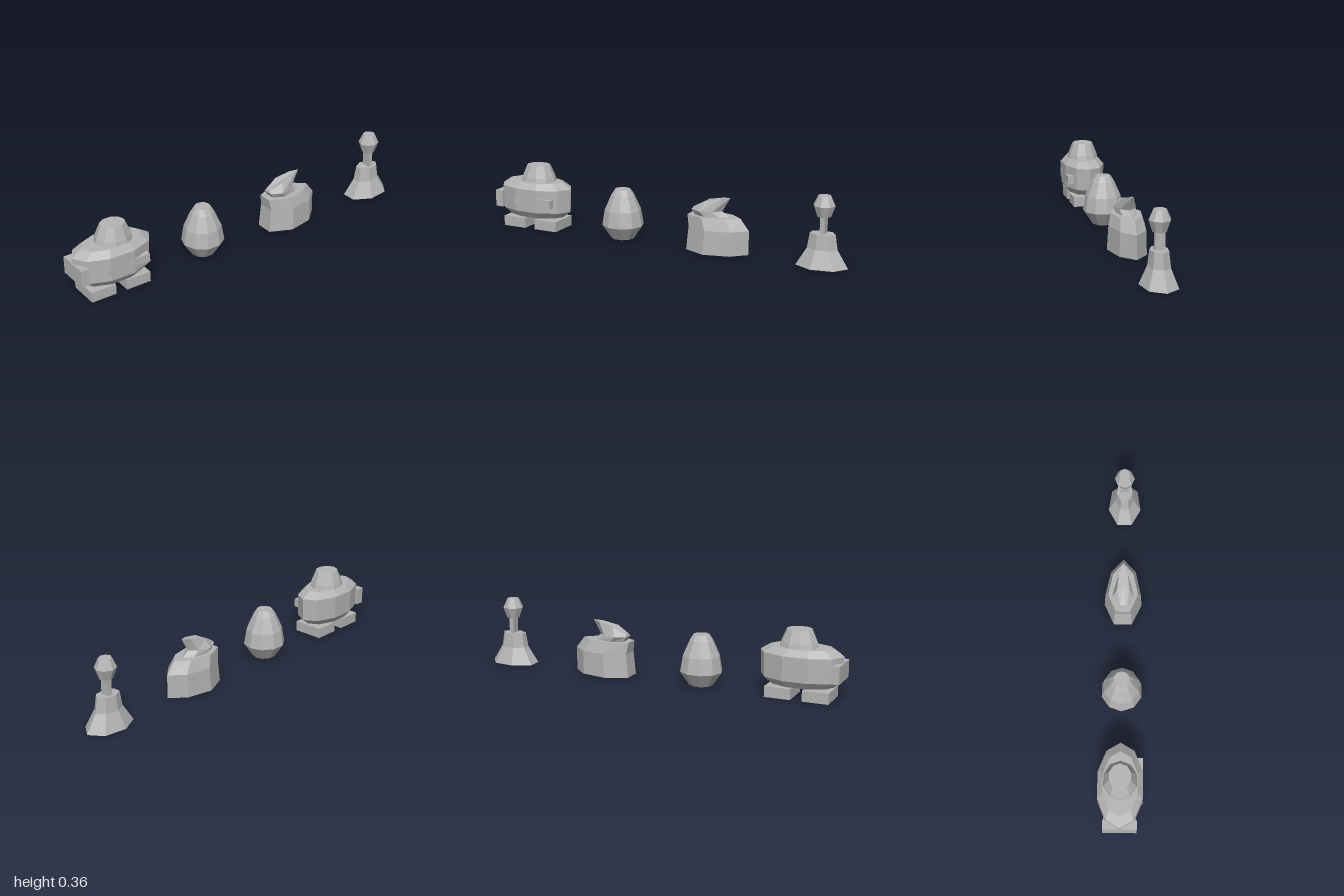
import * as THREE from 'three';

const grey = new THREE.MeshStandardMaterial({ color: 0xb4b4b4, flatShading: true });
grey.name = 'plain grey';

// Skin a stack of closed rings (bottom to top) and cap both ends.
function loft(name, rings) {
  const pos = [], n = rings[0].length;
  const tri = (a, b, c) => pos.push(...a, ...b, ...c);
  for (let i = 0; i < rings.length - 1; i++) {
    for (let j = 0; j < n; j++) {
      const k = (j + 1) % n, lo = rings[i], hi = rings[i + 1];
      tri(lo[j], hi[j], lo[k]);
      tri(lo[k], hi[j], hi[k]);
    }
  }
  const centre = (r) => [0, 1, 2].map((a) => r.reduce((s, p) => s + p[a], 0) / n);
  const bottom = rings[0], top = rings[rings.length - 1];
  for (let j = 0; j < n; j++) {
    const k = (j + 1) % n;
    tri(centre(bottom), bottom[j], bottom[k]);
    tri(centre(top), top[k], top[j]);
  }
  const geo = new THREE.BufferGeometry();
  geo.setAttribute('position', new THREE.Float32BufferAttribute(pos, 3));
  geo.computeVertexNormals();
  const mesh = new THREE.Mesh(geo, grey);
  mesh.name = name;
  return mesh;
}

// Faceted turned shape: profile of [y, rx], flattened in z by depth.
function turned(name, sides, x, depth, profile) {
  return loft(name, profile.map(([y, r]) => Array.from({ length: sides }, (_, i) => {
    const a = (i / sides) * Math.PI * 2;
    return [x + r * Math.cos(a), y, r * depth * Math.sin(a)];
  })));
}

// Box given by its min and max corners.
function box(name, [x0, y0, z0], [x1, y1, z1]) {
  const mesh = new THREE.Mesh(new THREE.BoxGeometry(x1 - x0, y1 - y0, z1 - z0), grey);
  mesh.position.set((x0 + x1) / 2, (y0 + y1) / 2, (z0 + z1) / 2);
  mesh.name = name;
  return mesh;
}

function group(name, ...parts) {
  const g = new THREE.Group();
  g.name = name;
  g.add(...parts);
  return g;
}

// Boat-shaped plan: [along 0..1, half width], pointed at +x.
const plan = [[1, 0], [0.77, 0.7], [0.35, 1], [0, 0.48], [0, -0.48], [0.35, -1], [0.77, -0.7]];
const boat = (x0, x1, halfZ, y0, rise = 0) =>
  plan.map(([u, w]) => [x0 + (x1 - x0) * u, y0 + rise * Math.sqrt(u), w * halfZ]);

export function createModel() {
  const model = new THREE.Group();

  // Squat piece with domed cap, feet, front bar and end block
  model.add(group('squatPiece',
    turned('squatBody', 10, -0.785, 0.55, [[0.065, 0.165], [0.1, 0.211], [0.225, 0.215], [0.258, 0.163]]),
    turned('domeCap', 10, -0.77, 0.87, [[0.25, 0.102], [0.282, 0.093], [0.345, 0.065]]),
    box('endBlock', [-1, 0.105, -0.085], [-0.955, 0.195, 0.085]),
    box('frontBar', [-0.86, 0.133, 0.05], [-0.635, 0.178, 0.113]),
    box('rightFoot', [-0.95, 0, -0.083], [-0.815, 0.055, 0.083]),
    box('leftFoot', [-0.755, 0, -0.083], [-0.62, 0.055, 0.083])));

  // Egg-shaped piece
  model.add(group('eggPiece',
    turned('eggBody', 10, -0.25, 0.97,
      [[0, 0.063], [0.072, 0.112], [0.155, 0.098], [0.235, 0.062], [0.265, 0.042]])));

  // Boat-shaped piece with a slanted crest
  model.add(group('crestPiece',
    loft('crestBody', [
      boat(0.145, 0.472, 0.1, 0), boat(0.157, 0.472, 0.094, 0.125), boat(0.147, 0.425, 0.078, 0.185)]),
    loft('crest', [
      boat(0.185, 0.368, 0.05, 0.18), boat(0.165, 0.325, 0.058, 0.212), boat(0.17, 0.368, 0.032, 0.223, 0.063)])));

  // Flared stand with stem and faceted knob
  model.add(group('standPiece',
    turned('flaredBase', 7, 0.86, 0.67, [[0, 0.136], [0.09, 0.079], [0.167, 0.066]]),
    box('stem', [0.852, 0.16, -0.024], [0.876, 0.26, 0.024]),
    turned('knob', 8, 0.864, 0.95, [[0.252, 0.036], [0.307, 0.056], [0.356, 0.033]])));

  return model;
}
